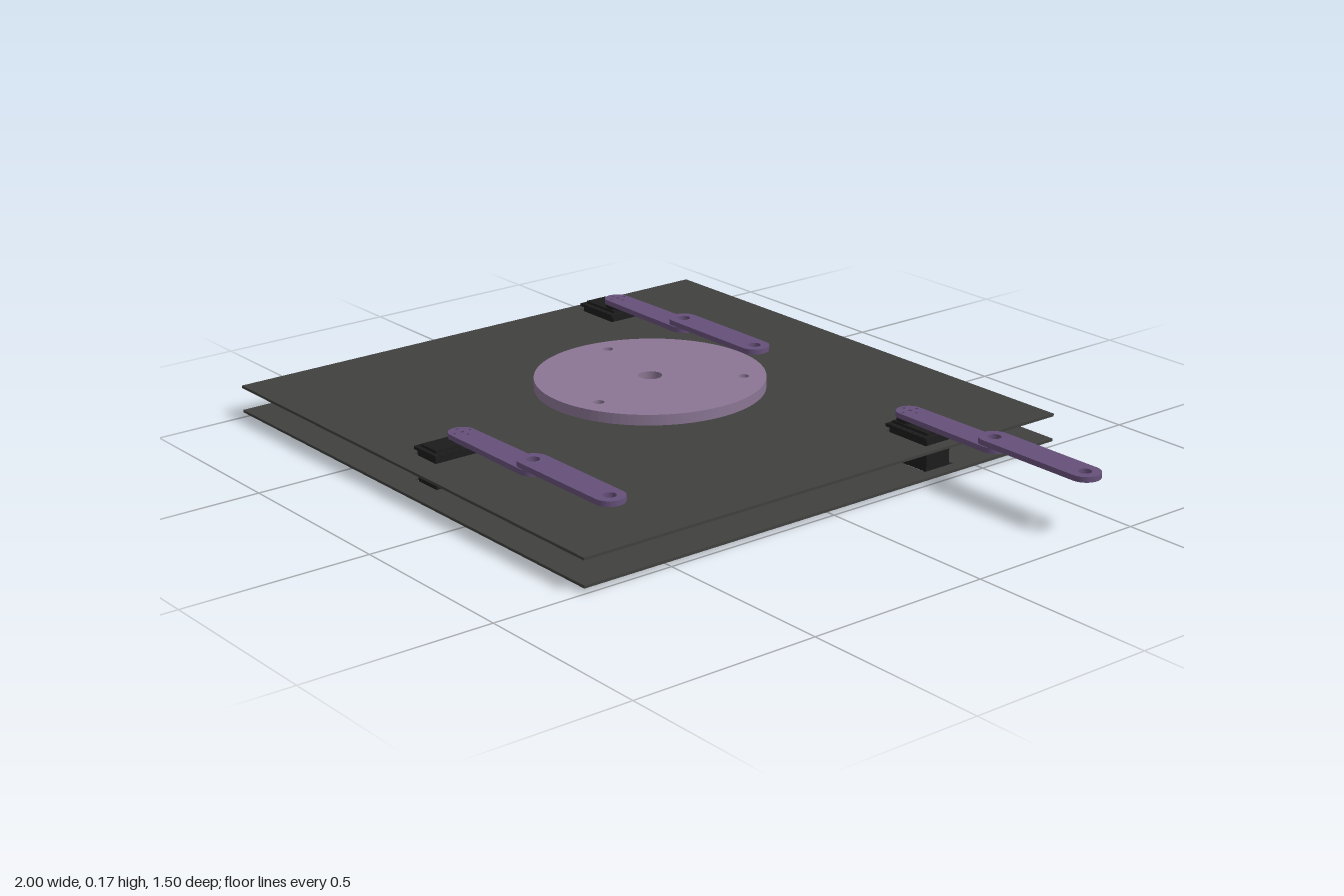
import * as THREE from 'three';

const mat = (color) => new THREE.MeshStandardMaterial({ color });
const plateMat = mat(0x40403e);
const servoMat = mat(0x1c1c1c);
const armMat = mat(0x66507a);
const discMat = mat(0x8b7694);

function mesh(name, geometry, material) {
  const m = new THREE.Mesh(geometry, material);
  m.name = name;
  return m;
}

// Outline in plan (x, -z), extruded upward from y
function slab(shape, y, height, segments = 16) {
  const g = new THREE.ExtrudeGeometry(shape, { depth: height, bevelEnabled: false, curveSegments: segments });
  return g.rotateX(-Math.PI / 2).translate(0, y, 0);
}

function addHole(shape, x, z, r) {
  shape.holes.push(new THREE.Path().absarc(x, -z, r, 0, Math.PI * 2, true));
}

function rect(target, x0, x1, z0, z1) {
  target.moveTo(x0, -z0).lineTo(x0, -z1).lineTo(x1, -z1).lineTo(x1, -z0).closePath();
  return target;
}

function box(name, x0, x1, y0, y1, width) {
  const g = new THREE.BoxGeometry(x1 - x0, y1 - y0, width);
  return mesh(name, g.translate((x0 + x1) / 2, (y0 + y1) / 2, 0), servoMat);
}

// Link with round ends: pivot at the origin, joint at x = 0.3
function linkShape(r0, r1) {
  const L = 0.3;
  const tilt = Math.acos((r0 - r1) / L);
  const s = new THREE.Shape();
  s.absarc(L, 0, r1, -tilt, tilt, false);
  s.absarc(0, 0, r0, tilt, 2 * Math.PI - tilt, false);
  addHole(s, L, 0, 0.017);
  return s;
}

// Servo: output shaft at the origin, case running along +x
function makeServo(hornTop) {
  const g = new THREE.Group();
  g.name = 'servo';
  g.add(box('case', -0.031, 0.106, 0.016, 0.1, 0.078));
  g.add(box('caseTop', -0.026, 0.1, 0.108, 0.115, 0.066));

  // Rim pierced by a row of small holes
  const rim = rect(new THREE.Shape(), -0.036, 0.111, -0.048, 0.048);
  for (let i = 0; i < 7; i++) {
    for (const side of [-1, 1]) addHole(rim, -0.0225 + i * 0.02, side * 0.0435, 0.0035);
  }
  g.add(mesh('rim', slab(rim, 0.1, 0.008, 6), servoMat));

  const horn = new THREE.CylinderGeometry(0.032, 0.032, hornTop - 0.113, 32);
  g.add(mesh('horn', horn.translate(0, (hornTop + 0.113) / 2, 0), servoMat));

  // Feet under the case
  const boss = new THREE.CylinderGeometry(0.014, 0.014, 0.018, 24);
  g.add(mesh('bottomBoss', boss.translate(0, 0.009, 0), servoMat));
  for (const side of [-1, 1]) {
    const foot = new THREE.CylinderGeometry(0.009, 0.009, 0.012, 16);
    g.add(mesh('foot', foot.translate(0.09, 0.011, side * 0.022), servoMat));
  }
  return g;
}

// Two-link arm stretched along +x
function makeArm(y) {
  const g = new THREE.Group();
  g.name = 'arm';
  const lower = linkShape(0.035, 0.039);
  for (let i = 0; i < 4; i++) {
    const a = i * Math.PI / 2;
    addHole(lower, 0.023 * Math.cos(a), 0.023 * Math.sin(a), 0.004);
  }
  addHole(lower, 0, 0, 0.005);
  g.add(mesh('lowerLink', slab(lower, y, 0.014), armMat));
  const upper = linkShape(0.04, 0.04);
  addHole(upper, 0, 0, 0.017);
  const link = mesh('upperLink', slab(upper, y + 0.0165, 0.014), armMat);
  link.position.x = 0.3;
  g.add(link);
  return g;
}

export function createModel() {
  const model = new THREE.Group();
  model.name = 'threeArmPlatform';

  // Shaft position, servo heading and arm height
  const units = [
    { x: -0.85, z: -0.38, turn: Math.PI, y: 0.127 },
    { x: 0.355, z: -0.38, turn: 0, y: 0.127 },
    { x: -0.245, z: 0.567, turn: -Math.PI / 2, y: 0.119 },
  ];

  // Base plates with openings for the servos
  const plate = rect(new THREE.Shape(), -1, 0.5, -0.75, 0.75);
  for (const u of units) {
    const c = Math.cos(u.turn), s = -Math.sin(u.turn);
    const cx = u.x + 0.0375 * c, cz = u.z + 0.0375 * s;
    const hx = Math.abs(c) * 0.074 + Math.abs(s) * 0.048;
    const hz = Math.abs(s) * 0.074 + Math.abs(c) * 0.048;
    plate.holes.push(rect(new THREE.Path(), cx - hx, cx + hx, cz - hz, cz + hz));
  }
  model.add(mesh('lowerPlate', slab(plate, 0.0135, 0.007), plateMat));
  model.add(mesh('upperPlate', slab(plate, 0.0815, 0.007), plateMat));

  for (const u of units) {
    const servo = makeServo(u.y);
    servo.position.set(u.x, 0, u.z);
    servo.rotation.y = u.turn;
    const arm = makeArm(u.y);
    arm.position.set(u.x, 0, u.z);
    model.add(servo, arm);
  }

  // Round platform with a centre hole and three bolt holes
  const disc = new THREE.Shape().absarc(0, 0, 0.299, 0, Math.PI * 2, false);
  addHole(disc, 0, 0, 0.031);
  for (let i = 0; i < 3; i++) {
    const a = 1.91 + i * Math.PI * 2 / 3;
    addHole(disc, 0.24 * Math.cos(a - 0.68), 0.24 * Math.sin(a - 0.68), 0.014);
  }
  const top = mesh('roundPlatform', slab(disc, 0.143, 0.028, 48), discMat);
  top.position.set(-0.2, 0, 0.012);
  model.add(top);
  return model;
}
